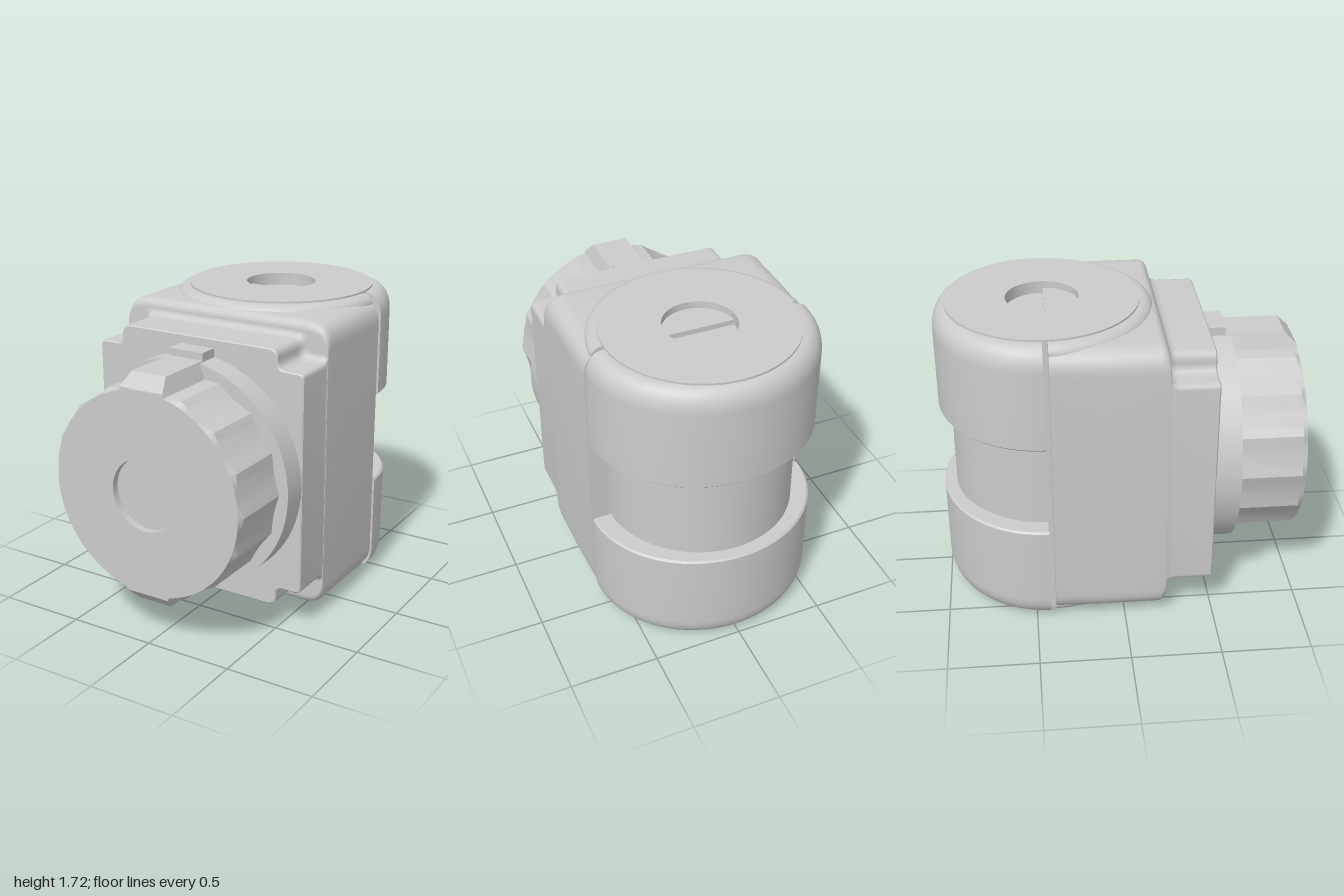
import * as THREE from 'three';
import { toCreasedNormals } from 'three/addons/utils/BufferGeometryUtils.js';

const MID = 0.86;     // height of the horizontal symmetry plane
const AXIS_Z = -0.4;  // upright barrel axis
const material = new THREE.MeshStandardMaterial({ color: 0xcccccc, side: THREE.DoubleSide });

function addMesh(parent, name, geometry, crease = 0.6) {
  const mesh = new THREE.Mesh(toCreasedNormals(geometry, crease), material);
  mesh.name = name;
  parent.add(mesh);
  return mesh;
}

// Outline through corners [x, y, radius], counter-clockwise, each corner rounded
function roundedOutline(corners, steps = 6) {
  const points = [];
  corners.forEach(([x, y, r], i) => {
    const p = new THREE.Vector2(x, y);
    const toward = (c) => new THREE.Vector2(c[0], c[1]).sub(p).setLength(r).add(p);
    const before = toward(corners[(i + corners.length - 1) % corners.length]);
    const after = toward(corners[(i + 1) % corners.length]);
    points.push(...new THREE.QuadraticBezierCurve(before, p, after).getPoints(steps));
  });
  return points;
}

// Solid through matching outlines, listed as [z, points] from back to front
function loft(sections) {
  const n = sections[0][1].length;
  const positions = [];
  const index = [];
  for (const [z, points] of sections) for (const p of points) positions.push(p.x, p.y, z);
  for (let j = 0; j < sections.length - 1; j++) {
    for (let i = 0; i < n; i++) {
      const a = j * n + i, b = j * n + (i + 1) % n;
      index.push(a, b, b + n, a, b + n, a + n);
    }
  }
  const last = (sections.length - 1) * n;
  for (const [a, b, c] of THREE.ShapeUtils.triangulateShape(sections[0][1], [])) index.push(c, b, a);
  for (const [a, b, c] of THREE.ShapeUtils.triangulateShape(sections.at(-1)[1], []))
    index.push(last + a, last + b, last + c);
  const geometry = new THREE.BufferGeometry();
  geometry.setAttribute('position', new THREE.Float32BufferAttribute(positions, 3));
  geometry.setIndex(index);
  return geometry;
}

// Half ring of a profile swept around y, with its two cut ends closed
function halfRing(name, profile, back) {
  const group = new THREE.Group();
  group.name = name;
  addMesh(group, name + 'Wall',
    new THREE.LatheGeometry(profile, 48, back ? Math.PI / 2 : -Math.PI / 2, Math.PI));
  for (const side of [1, -1]) {
    const shape = new THREE.Shape(profile.map((p) => new THREE.Vector2(p.x * side, p.y)));
    addMesh(group, name + 'End', new THREE.ShapeGeometry(shape));
  }
  return group;
}

// Profile of a lower rim: rounded foot, straight wall, flat lip
function rimProfile(inner, start, outer, bottom, round, lip) {
  const v = (x, y) => new THREE.Vector2(x, y);
  const curve = new THREE.CubicBezierCurve(v(start, bottom), v(start + (outer - start) * 0.6, bottom),
    v(outer, bottom + round * 0.45), v(outer, bottom + round));
  return [v(inner, bottom), ...curve.getPoints(10), v(outer, lip - 0.01), v(outer - 0.01, lip), v(inner, lip)];
}

const bodyOutline = (hw, hh, r) =>
  roundedOutline([[hw, hh, r], [-hw, hh, r], [-hw, -hh, r], [hw, -hh, r]], 10);

// Rectangle with stepped corners, grown by d
function notchedOutline(d) {
  const a = 0.49 + d, b = 0.643 + Math.min(d, 0), c = 0.62 + d, h = 0.73 + d;
  const quarter = [[b, c, 0.03], [a, c, 0.05], [a, h, 0.05]];
  const flip = (list, sx, sy) => list.map(([x, y, r]) => [x * sx, y * sy, r]);
  const reversed = [...quarter].reverse();
  return roundedOutline([...quarter, ...flip(reversed, -1, 1), ...flip(quarter, -1, -1), ...flip(reversed, 1, -1)]);
}

// Ring of scallops, limited to a largest radius
function scallopOutline(limit) {
  const lobes = 16, steps = 8;
  return Array.from({ length: lobes * steps }, (_, i) => {
    const t = (i % steps) / steps;
    const r = Math.min(limit, 0.588 - 0.02 * Math.sin(Math.PI * t));
    const angle = (i / (lobes * steps)) * Math.PI * 2;
    return new THREE.Vector2(Math.cos(angle) * r, Math.sin(angle) * r);
  });
}

export function createModel() {
  const model = new THREE.Group();
  model.name = 'connector';
  model.position.y = MID;

  // Housing block with rounded front edges above and below
  const bodySections = [[-0.39, bodyOutline(0.637, 0.82, 0.13)], [-0.1, bodyOutline(0.645, 0.82, 0.13)]];
  for (let i = 0; i <= 6; i++) {
    const a = (i / 6) * Math.PI / 2;
    bodySections.push([0.18 + 0.05 * Math.sin(a), bodyOutline(0.645, 0.77 + 0.05 * Math.cos(a), 0.13)]);
  }
  addMesh(model, 'housing', loft(bodySections));

  // Stepped flange with a cove at its root
  const flangeSections = [[0.2, notchedOutline(0.035)]];
  for (let i = 0; i <= 6; i++) {
    const a = (i / 6) * Math.PI / 2;
    flangeSections.push([0.23 + 0.05 * (1 - Math.cos(a)), notchedOutline(0.035 * (1 - Math.sin(a)))]);
  }
  flangeSections.push([0.483, notchedOutline(0)], [0.49, notchedOutline(-0.007)]);
  addMesh(model, 'frontFlange', loft(flangeSections));

  // Upright barrel with a round recess in each end
  const half = [[0, 0.79], [0.2, 0.79], [0.2, 0.86], [0.53, 0.86]];
  const barrelProfile = [...half.map(([x, y]) => [x, -y]), ...[...half].reverse()];
  const barrel = addMesh(model, 'barrel',
    new THREE.LatheGeometry(barrelProfile.map(([x, y]) => new THREE.Vector2(x, y)), 80));
  barrel.position.z = AXIS_Z;

  // Upper and lower rear shells, and the raised rims on the housing
  for (const [label, turn] of [['lower', 0], ['upper', Math.PI]]) {
    const shell = halfRing(label + 'RearShell', rimProfile(0.5, 0.51, 0.6, -0.85, 0.13, -0.26), true);
    shell.scale.set(0.635 / 0.6, 1, 0.58 / 0.6);
    shell.position.z = -0.42;
    shell.rotation.z = turn;
    const rim = halfRing(label + 'HousingRim', rimProfile(0.5, 0.53, 0.595, -0.85, 0.06, -0.75), false);
    rim.position.z = -0.39;
    rim.rotation.z = turn;
    model.add(shell, rim);
  }

  // Collar behind the knob
  const collar = addMesh(model, 'collar', new THREE.CylinderGeometry(0.64, 0.64, 0.15, 80));
  collar.rotation.x = Math.PI / 2;
  collar.position.z = 0.555;

  // Scalloped knob, with a shallow round recess in the face
  addMesh(model, 'knob', loft([
    [0.6, scallopOutline(1)], [0.975, scallopOutline(1)], [1, scallopOutline(0.567)],
    [1, scallopOutline(0.2)], [0.96, scallopOutline(0.2)],
  ]), 0.35);

  // Lugs on the knob and locating tabs on the collar, above and below
  const lugOutline = (top, topHalf) => [[0.14, 0.45], [0.14, 0.55], [topHalf, top], [-topHalf, top],
    [-0.14, 0.55], [-0.14, 0.45]].map(([x, y]) => new THREE.Vector2(x, y));
  for (const [label, turn] of [['upper', 0], ['lower', Math.PI]]) {
    const pair = new THREE.Group();
    pair.name = label + 'Lock';
    pair.rotation.z = turn;
    addMesh(pair, label + 'Lug', loft([
      [0.6, lugOutline(0.64, 0.105)], [0.93, lugOutline(0.64, 0.105)], [0.998, lugOutline(0.57, 0.13)],
    ]), 0.2);
    const tab = addMesh(pair, label + 'Tab', new THREE.BoxGeometry(0.21, 0.1, 0.12));
    tab.position.set(0, 0.63, 0.54);
    model.add(pair);
  }

  const root = new THREE.Group();
  root.name = 'model';
  root.add(model);
  return root;
}
